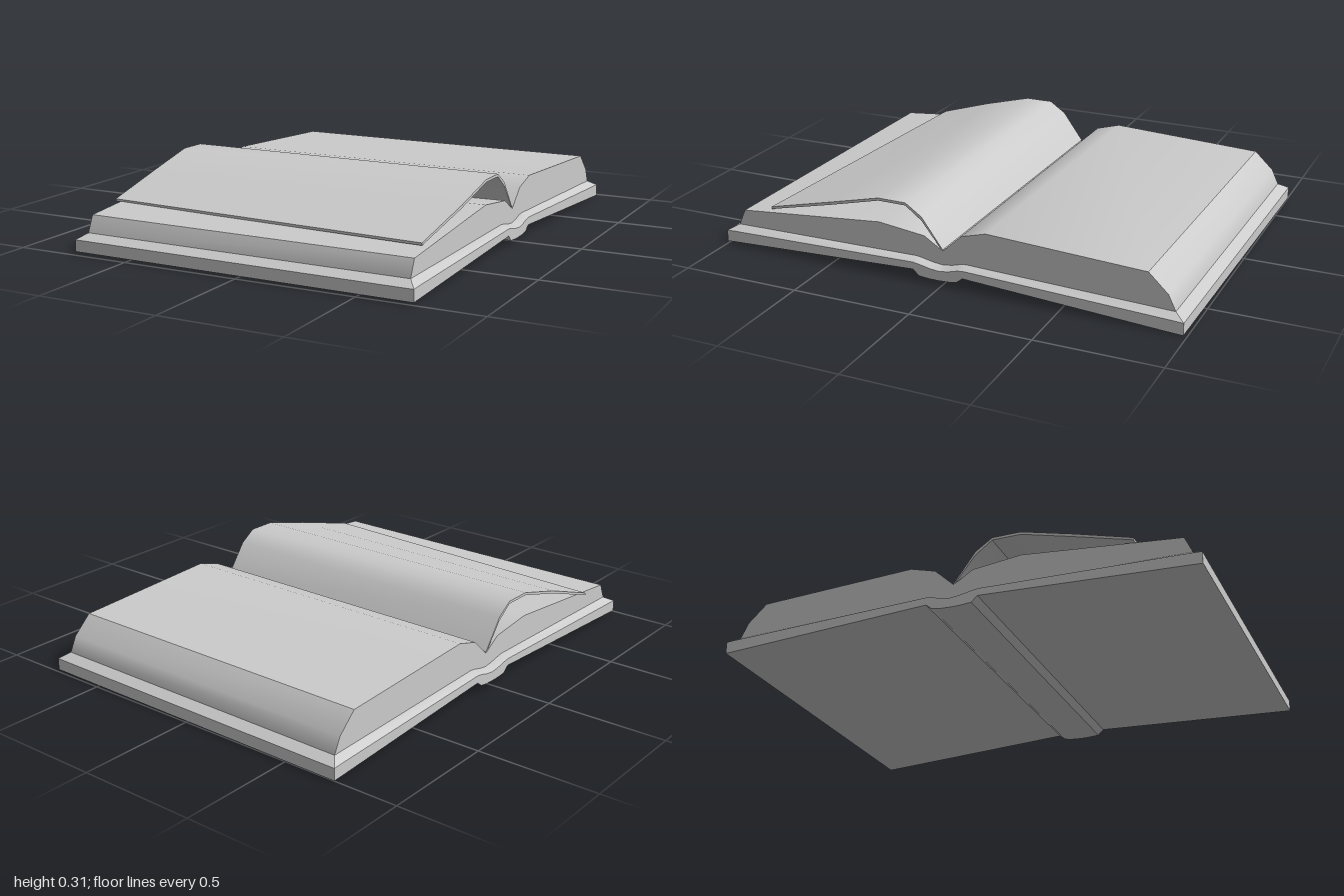
import * as THREE from 'three';
import { toCreasedNormals } from 'three/addons/utils/BufferGeometryUtils.js';

// Skin a list of equal-length rings (counter-clockwise seen from +z), ordered from back to front
function loft(name, rings, crease) {
  const n = rings[0].length, last = (rings.length - 1) * n;
  const index = [];
  for (let i = 0; i < rings.length - 1; i++) {
    for (let j = 0; j < n; j++) {
      const a = i * n + j, b = i * n + (j + 1) % n;
      index.push(a, b, b + n, a, b + n, a + n);
    }
  }
  for (let j = 1; j < n - 1; j++) {
    index.push(0, j + 1, j, last, last + j, last + j + 1);
  }
  const geometry = new THREE.BufferGeometry();
  geometry.setAttribute('position', new THREE.Float32BufferAttribute(rings.flat(2), 3));
  geometry.setIndex(index);
  const mesh = new THREE.Mesh(
    toCreasedNormals(geometry, crease),
    new THREE.MeshStandardMaterial({ color: 0xcccccc })
  );
  mesh.name = name;
  return mesh;
}

export function createModel() {
  const book = new THREE.Group();
  book.name = 'openBook';

  // Cover: boards and rounded spine with a bevelled upper rim
  // [z, underside, rim height, inner height, inset]
  const W = 0.737, W2 = 0.704;
  const coverStations = [
    [-0.992, 0, 0.05, 0.05, 0],
    [-0.95, 0.002, 0.052, 0.073, 1],
    [-0.1, 0.05, 0.082, 0.096, 1],
    [-0.075, 0.03, 0.078, 0.092, 1],
    [-0.04, 0.024, 0.068, 0.082, 1],
    [0, 0.022, 0.062, 0.076, 1],
    [0.04, 0.022, 0.066, 0.08, 1],
    [0.09, 0.026, 0.076, 0.09, 1],
    [0.115, 0.05, 0.08, 0.094, 1],
    [0.95, 0.012, 0.06, 0.081, 1],
    [0.992, 0.01, 0.058, 0.058, 0],
  ];
  book.add(loft('cover', coverStations.map(([z, b, t, t2, inset]) => {
    const w = inset ? W2 : W;
    return [[-W, b, z], [W, b, z], [W, t, z], [w, t2, z], [-w, t2, z], [-W, t, z]];
  }), 0.44));

  // Page block: two curved halves meeting in the gutter  [z, bottom, top]
  const pageStations = [
    [-0.95, 0.065, 0.073],
    [-0.92, 0.065, 0.135],
    [-0.84, 0.065, 0.21],
    [-0.185, 0.08, 0.24],
    [-0.08, 0.08, 0.21],
    [0, 0.065, 0.135],
    [0.08, 0.08, 0.185],
    [0.28, 0.08, 0.208],
    [0.92, 0.075, 0.148],
    [0.95, 0.07, 0.081],
  ];
  book.add(loft('pages', pageStations.map(([z, b, t]) =>
    [[-W2, b, z], [W2, b, z], [W2, t, z], [-W2, t, z]]), 0.6));

  // Turning sheet: lifted from the gutter, its free edge skewed
  // [z, bottom, top, sideways shift, skew]
  const sheetStations = [
    [0, 0.132, 0.14, 0, 0],
    [0.09, 0.246, 0.262, 0, 0],
    [0.16, 0.298, 0.309, 0, 0],
    [0.28, 0.298, 0.309, 0, 0],
    [0.5, 0.24, 0.252, -0.004, 0.006],
    [0.77, 0.163, 0.173, -0.026, 0.034],
  ];
  book.add(loft('turningSheet', sheetStations.map(([z, b, t, dx, s]) =>
    [[dx - W2, b, z - s], [dx + W2, b, z + s], [dx + W2, t, z + s], [dx - W2, t, z - s]]), 0.6));

  // The book lies very slightly turned
  book.rotation.y = -0.01;
  const model = new THREE.Group();
  model.name = 'book';
  model.add(book);
  return model;
}
